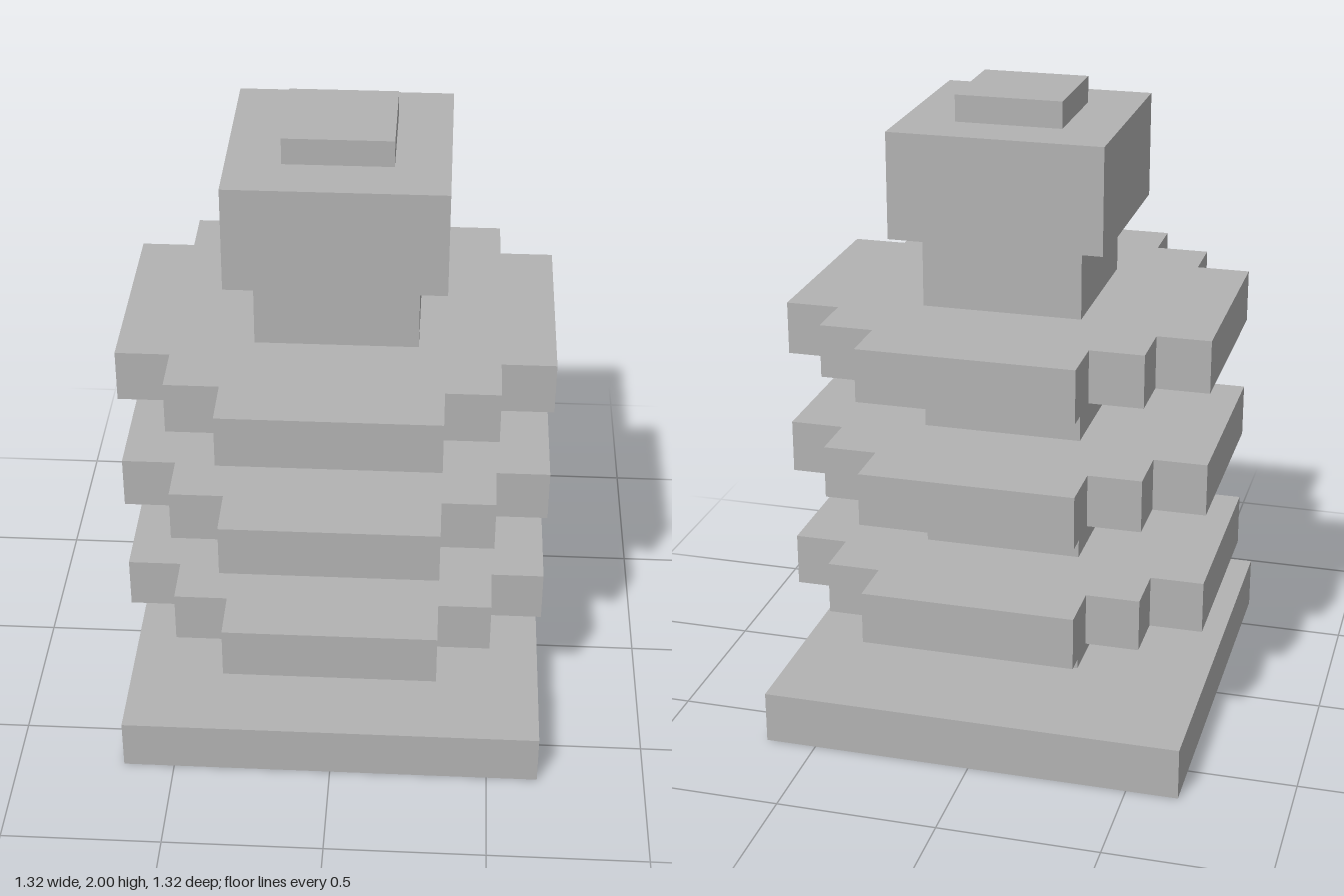
import * as THREE from 'three';

// One module of the tower; every dimension is a multiple of it.
const U = 2 / 12.1;

export function createModel() {
  const model = new THREE.Group();
  const stone = new THREE.MeshStandardMaterial({ color: 0xb2b2b2 });
  stone.name = 'grey stone';

  function add(name, geometry, y) {
    const mesh = new THREE.Mesh(geometry, stone);
    mesh.name = name;
    mesh.position.y = y * U;
    model.add(mesh);
  }

  // Square block standing on height y
  function block(name, width, height, y) {
    add(name, new THREE.BoxGeometry(width * U, height * U, width * U), y + height / 2);
  }

  // Square tier plate with stepped corners: one quarter outline turned four times
  const quarter = [[4, -2], [4, 2], [3, 2], [3, 3], [2, 3]];
  const outline = [];
  for (let i = 0; i < 4; i++) {
    const c = Math.round(Math.cos(i * Math.PI / 2));
    const s = Math.round(Math.sin(i * Math.PI / 2));
    for (const [x, y] of quarter) {
      outline.push(new THREE.Vector2((x * c - y * s) * U, (x * s + y * c) * U));
    }
  }
  const tier = new THREE.ExtrudeGeometry(new THREE.Shape(outline), { depth: U, bevelEnabled: false });
  tier.rotateX(-Math.PI / 2);

  // Base, then column sections alternating with tiers
  block('base', 8, 1, 0);
  for (let i = 0; i < 4; i++) {
    const y = 1 + i * 2.4;
    block('column' + (i + 1), 3, 1.4, y);
    if (i < 3) add('tier' + (i + 1), tier, y + 1.4);
  }

  // Head block and its small cap
  block('head', 4, 2, 9.6);
  block('cap', 2, 0.5, 11.6);

  return model;
}
